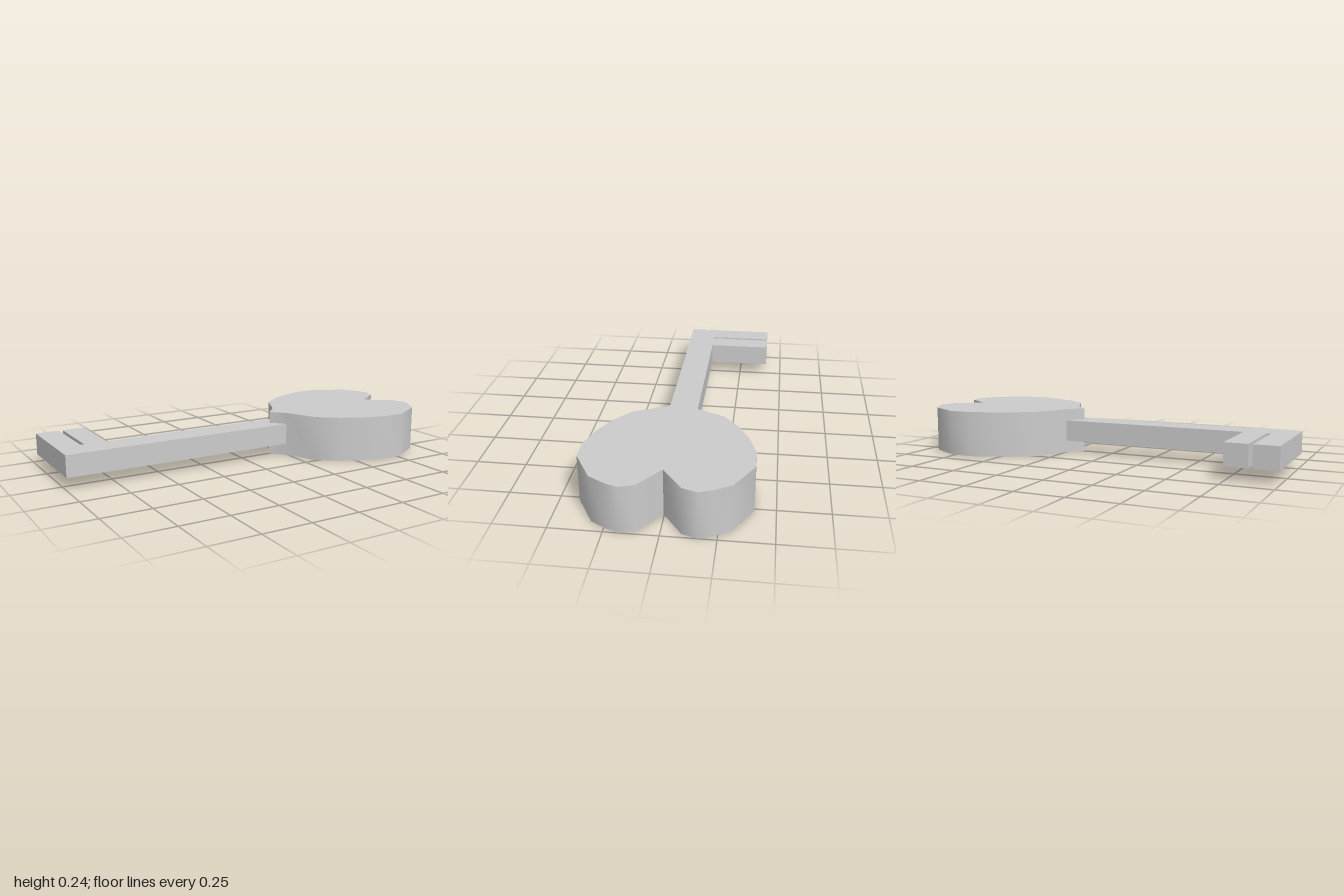
import * as THREE from 'three';
import { toCreasedNormals } from 'three/addons/utils/BufferGeometryUtils.js';

// Extrude an outline of [x, z] points upward from y0 to y1
function slab(name, outline, y0, y1, crease) {
  const shape = new THREE.Shape(outline.map(([x, z]) => new THREE.Vector2(x, z)));
  const geometry = new THREE.ExtrudeGeometry(shape, { depth: y1 - y0, bevelEnabled: false });
  geometry.rotateX(Math.PI / 2).translate(0, y1, 0);
  const material = new THREE.MeshStandardMaterial({ color: 0xcccccc });
  const mesh = new THREE.Mesh(toCreasedNormals(geometry, crease), material);
  mesh.name = name;
  return mesh;
}

export function createModel() {
  const key = new THREE.Group();
  key.name = 'key';

  // Heart-shaped bow: one half from tip to notch, mirrored for the other
  const tip = [0.175, 0], notch = [0.84, 0];
  const lobe = [
    [0.245, 0.075], [0.315, 0.23], [0.42, 0.312], [0.53, 0.366], [0.65, 0.403],
    [0.77, 0.403], [0.93, 0.312], [0.975, 0.235], [1, 0.173], [0.975, 0.097],
  ];
  const mirrored = lobe.map(([x, z]) => [x, -z]).reverse();
  const bow = slab('bow', [tip, ...lobe, notch, ...mirrored], 0, 0.237, 0.75);
  bow.position.z = 0.004;
  key.add(bow);

  // Shaft with two teeth split by a narrow slot
  const back = -0.41, side = 0.074;
  key.add(slab('shaftAndTeeth', [
    [-1, side], [-1, back], [-0.877, back], [-0.877, -side], [-0.857, -side],
    [-0.857, back], [-0.742, back], [-0.742, -side], [0.245, -side], [0.245, side],
  ], 0.064, 0.176, 0.5));

  return key;
}
